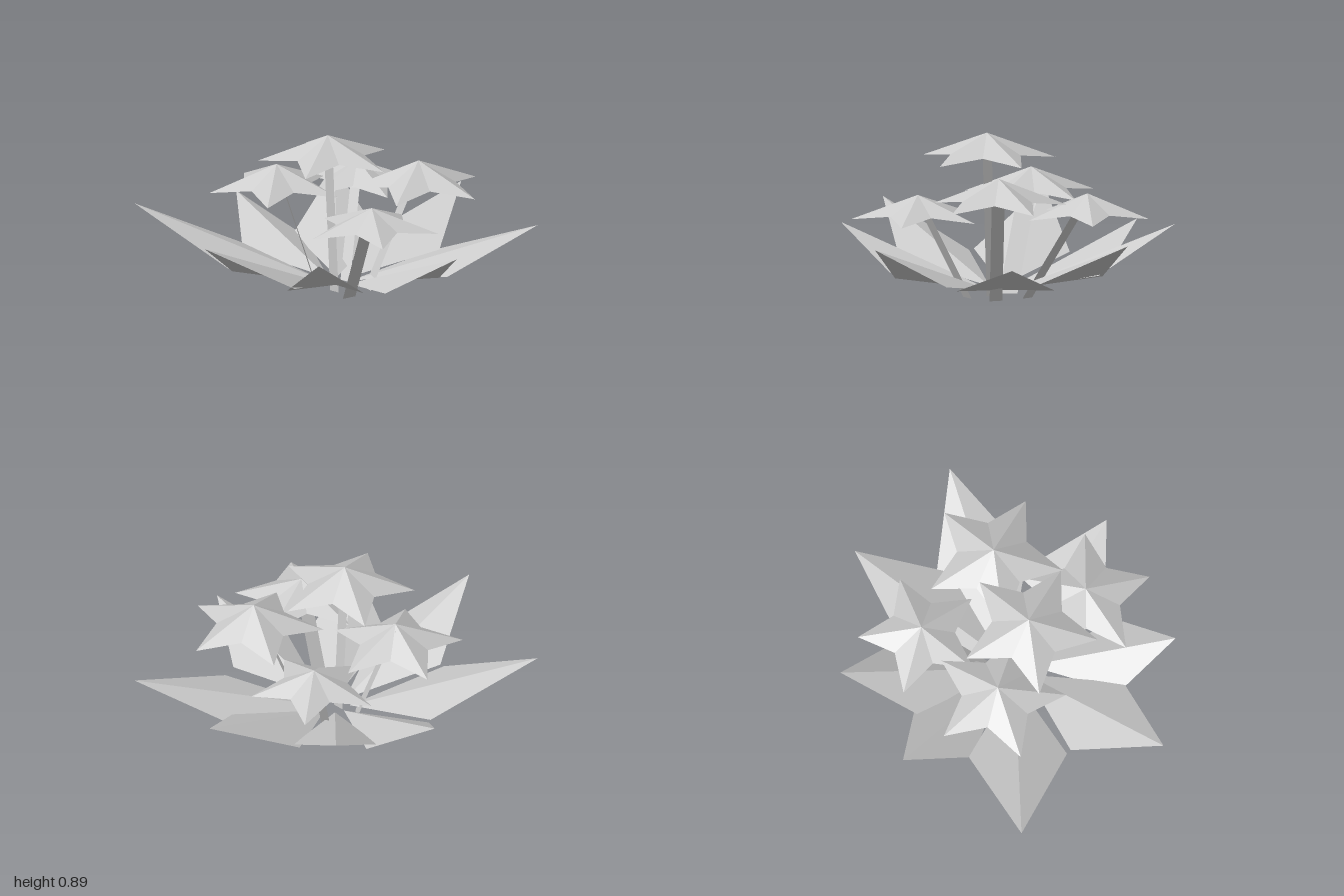
import * as THREE from 'three';

const grey = new THREE.MeshStandardMaterial({ color: 0xcccccc, side: THREE.DoubleSide, flatShading: true });
grey.name = 'light grey';

// Flat-shaded mesh from a list of triangles, each three [x, y, z] corners
function facets(name, triangles) {
  const geometry = new THREE.BufferGeometry();
  geometry.setAttribute('position', new THREE.Float32BufferAttribute(triangles.flat(2), 3));
  geometry.computeVertexNormals();
  const mesh = new THREE.Mesh(geometry, grey);
  mesh.name = name;
  return mesh;
}

// Kite-shaped leaf folded along its middle, rising from the centre to its tip
function leaf(x, y, z) {
  const r = Math.hypot(x, z), dx = x / r, dz = z / r;
  const base = [dx * 0.08, 0.047, dz * 0.08];
  const corner = (side) => {
    const w = side * 0.24 * r;
    return [dx * 0.56 - dz * w, 0.38 * y, dz * 0.56 + dx * w];
  };
  const tip = [x, y, z];
  return facets('leaf', [[base, tip, corner(-1)], [base, corner(1), tip]]);
}

// Drooping five-pointed star with its peak at the centre
function blossom([x, y, z], radius, phase, drop) {
  const rim = (i) => {
    const a = THREE.MathUtils.degToRad(phase + i * 36);
    const outer = i % 2 === 0;
    const r = outer ? radius : radius * 0.53;
    return [x + r * Math.cos(a), y - drop * (outer ? 1 : 0.78), z + r * Math.sin(a)];
  };
  const triangles = [];
  for (let i = 0; i < 10; i++) triangles.push([[x, y, z], rim(i + 1), rim(i)]);
  return facets('blossom', triangles);
}

// Flat ribbon stem; angle turns its width from x towards z
function stem([bx, bz], [tx, ty, tz], width, angle) {
  const a = THREE.MathUtils.degToRad(angle);
  const wx = Math.cos(a) * width / 2, wz = Math.sin(a) * width / 2;
  const top = ty - 0.02;
  const p = [bx - wx, 0, bz - wz], q = [bx + wx, 0, bz + wz];
  const s = [tx + wx, top, tz + wz], t = [tx - wx, top, tz - wz];
  return facets('stem', [[p, q, s], [p, s, t]]);
}

export function createModel() {
  const model = new THREE.Group();
  model.name = 'floweringPlant';

  // Ring of leaves, by tip position
  const leafTips = [
    [-0.79, 0.445, -0.78], [-0.01, 0.355, -0.89], [0.57, 0.41, -0.77], [1, 0.39, -0.2],
    [0.97, 0.31, 0.52], [0.14, 0.345, 0.88], [-0.61, 0.38, 0.63], [-1, 0.43, 0.12],
  ];
  for (const tip of leafTips) model.add(leaf(...tip));

  // Blossoms on their stems
  const flowers = [
    { top: [-0.085, 0.89, 0.025], radius: 0.38, phase: 2, drop: 0.145, base: [-0.04, 0.025], width: 0.065, angle: 82 },
    { top: [-0.175, 0.665, -0.315], radius: 0.37, phase: -9, drop: 0.145, base: [-0.065, -0.1], width: 0.1, angle: 125 },
    { top: [0.385, 0.59, -0.325], radius: 0.345, phase: 27, drop: 0.13, base: [0.13, -0.1], width: 0.07, angle: 80 },
    { top: [0.375, 0.715, 0.235], radius: 0.38, phase: 2, drop: 0.155, base: [0.13, 0.1], width: 0.075, angle: 100 },
    { top: [-0.11, 0.58, 0.45], radius: 0.365, phase: 46, drop: 0.13, base: [-0.05, 0.17], width: 0.085, angle: 0 },
  ];
  for (const f of flowers) {
    const flower = new THREE.Group();
    flower.name = 'flower';
    flower.add(blossom(f.top, f.radius, f.phase, f.drop), stem(f.base, f.top, f.width, f.angle));
    model.add(flower);
  }
  return model;
}
